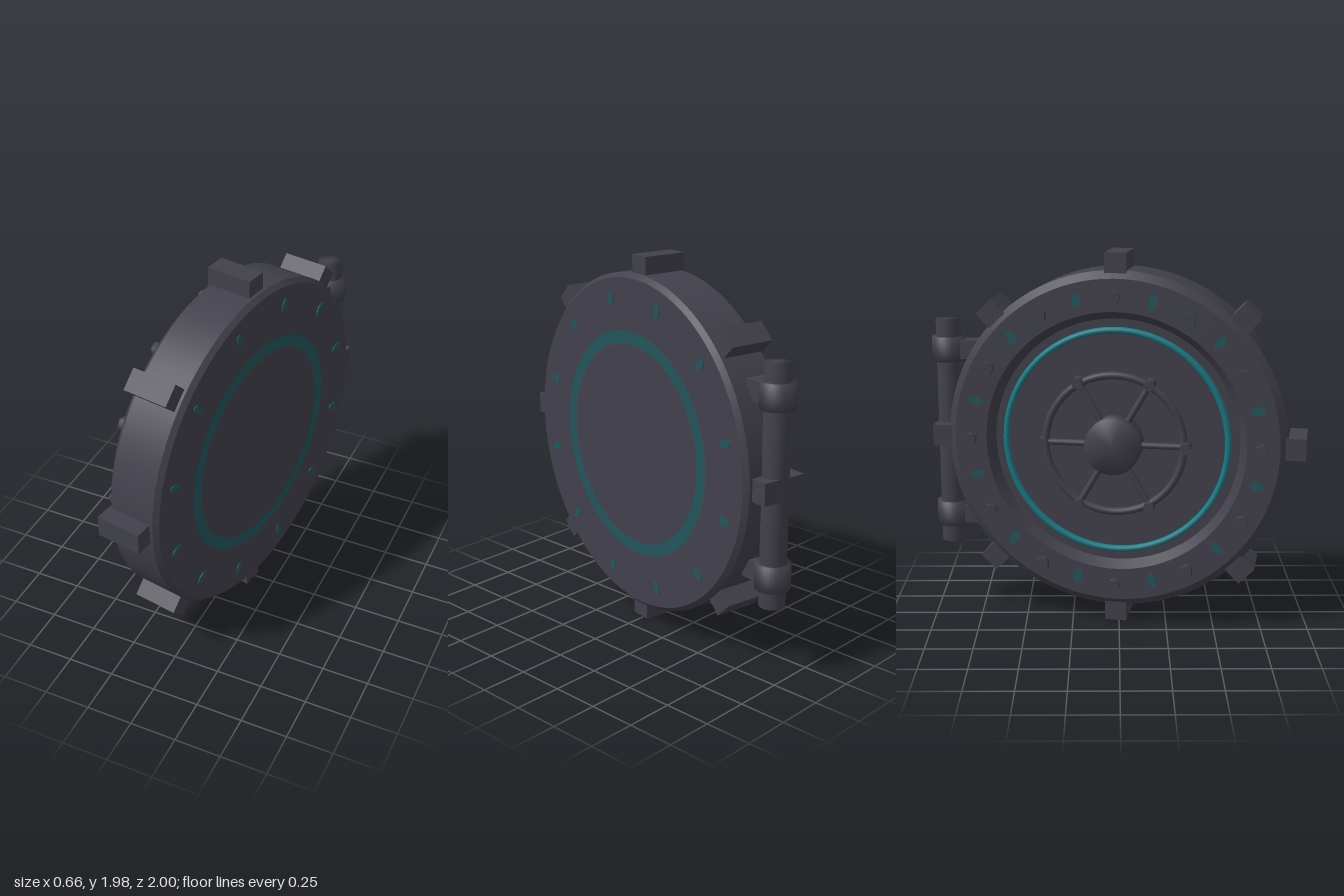
import * as THREE from 'three';
import { toCreasedNormals } from 'three/addons/utils/BufferGeometryUtils.js';

const mat = (name, color) => Object.assign(new THREE.MeshStandardMaterial({ color }), { name });

export function createModel() {
  const steel = mat('darkSteel', 0x42414c);
  const paint = mat('mutedTeal', 0x24555c);
  const seal = mat('brightTeal', 0x1c7882);

  const model = new THREE.Group();
  model.name = 'vaultDoor';
  // Door frame: local z is the disc axis, the plain face looks along +z
  const door = new THREE.Group();
  door.name = 'door';
  door.position.y = 0.99;
  door.rotation.y = THREE.MathUtils.degToRad(80);
  model.add(door);

  const add = (name, geo, material, x = 0, y = 0, z = 0, parent = door) => {
    const m = new THREE.Mesh(geo, material);
    m.name = name;
    m.position.set(x, y, z);
    parent.add(m);
    return m;
  };
  // Run fn in a group turned to each of n evenly spaced angles
  const around = (name, n, offset, fn) => {
    for (let i = 0; i < n; i++) {
      const g = new THREE.Group();
      g.name = name;
      g.rotation.z = offset + (i / n) * Math.PI * 2;
      door.add(g);
      fn(g);
    }
  };
  const lathe = (pts, seg) =>
    new THREE.LatheGeometry(pts.map(([r, h]) => new THREE.Vector2(r, h)), seg);
  // Drum with softly shaded ends
  const drum = (r, h) => lathe([[0, -h / 2], [r, -h / 2], [r, h / 2], [0, h / 2]], 32);
  const axial = (r, h, seg) => new THREE.CylinderGeometry(r, r, h, seg).rotateX(Math.PI / 2);

  // Disc with raised rim and recessed centre on the wheel side
  const body = lathe([
    [0, -0.08], [0.65, -0.08], [0.69, -0.135], [0.86, -0.135],
    [0.9, -0.1], [0.9, 0.148], [0.876, 0.172], [0, 0.172],
  ], 96).rotateX(Math.PI / 2);
  add('disc', toCreasedNormals(body, 0.5), steel);

  // Locking lugs
  const lug = new THREE.BoxGeometry(0.15, 0.115, 0.245);
  around('lockingLug', 8, 0, g => add('lug', lug, steel, 0.915, 0, 0.01, g));

  // Rim bolts
  const shank = axial(0.027, 0.04, 12);
  const head = axial(0.037, 0.035, 6);
  around('rimBolt', 12, 0, g => {
    add('boltShank', shank, steel, 0.77, 0, -0.15, g);
    add('boltHead', head, steel, 0.77, 0, -0.18, g);
  });

  // Painted marks on both faces
  const mark = axial(1, 0.006, 12).scale(0.04, 0.023, 1);
  around('paintedMark', 12, Math.PI / 12, g => {
    add('plainFaceMark', mark, paint, 0.77, 0, 0.173, g);
    add('rimMark', mark, paint, 0.77, 0, -0.136, g);
  });
  add('paintedRing', new THREE.RingGeometry(0.533, 0.602, 96), paint, 0, 0, 0.176);

  // Sealing ring in the recess
  add('sealRing', new THREE.TorusGeometry(0.59, 0.018, 12, 96), seal, 0, 0, -0.09);

  // Hand wheel
  add('wheelHub', drum(0.147, 0.145).rotateX(Math.PI / 2), steel, 0, 0, -0.15);
  add('wheelRim', new THREE.TorusGeometry(0.365, 0.02, 12, 64), steel, 0, 0, -0.145);
  const spoke = new THREE.CylinderGeometry(0.017, 0.017, 0.3, 12).rotateZ(Math.PI / 2);
  const knob = axial(0.028, 0.085, 12);
  around('wheelSpoke', 6, 0, g => {
    add('spoke', spoke, steel, 0.22, 0, -0.145, g);
    add('knob', knob, steel, 0.375, 0, -0.155, g);
  });

  // Hinge
  add('hingePin', drum(0.067, 1.23), steel, 0.925, 0, 0.01);
  for (const side of [-1, 1]) {
    add('hingeKnuckle', drum(0.09, 0.13), steel, 0.925, side * 0.455, 0.01);
    add('hingeBracket', new THREE.BoxGeometry(0.17, 0.1, 0.1), steel, 0.84, side * 0.455, 0.01);
  }
  return model;
}
